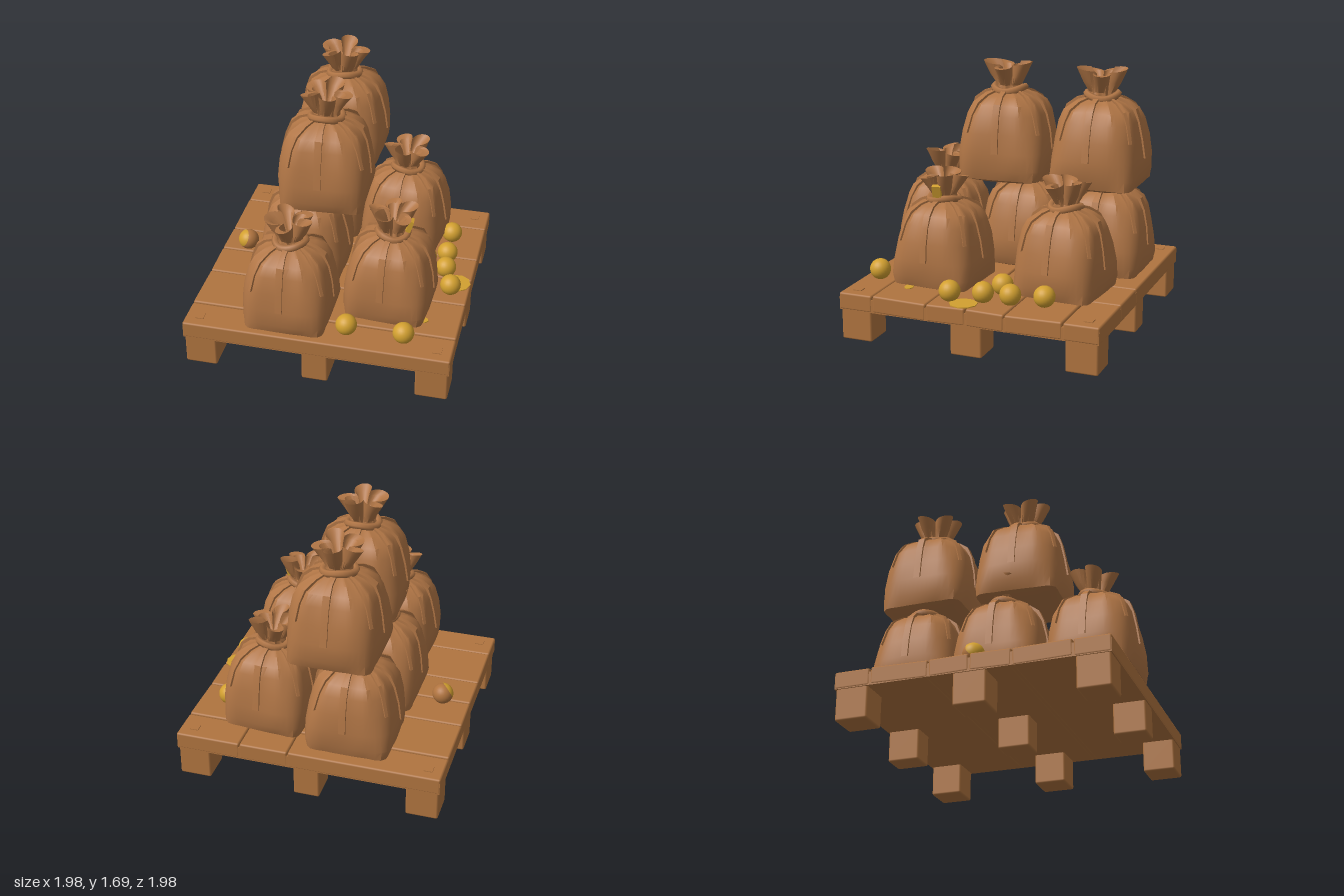
import * as THREE from 'three';
import { toCreasedNormals, mergeVertices } from 'three/addons/utils/BufferGeometryUtils.js';
import { RoundedBoxGeometry } from 'three/addons/geometries/RoundedBoxGeometry.js';

const wood = new THREE.MeshStandardMaterial({ color: 0xb0743f });
wood.name = 'wood';
const cloth = new THREE.MeshStandardMaterial({ color: 0xb07545 });
cloth.name = 'cloth';
const gold = new THREE.MeshStandardMaterial({ color: 0xd2a030 });
gold.name = 'gold';

const TURN = -0.162; // the whole load sits slightly turned

function add(parent, name, geometry, material, x = 0, y = 0, z = 0) {
  const mesh = new THREE.Mesh(geometry, material);
  mesh.name = name;
  mesh.position.set(x, y, z);
  parent.add(mesh);
  return mesh;
}

// Skin a grid of points: fn(row, column) -> [x, y, z]
function loft(rows, cols, fn, crease) {
  const pos = [], index = [];
  for (let i = 0; i <= rows; i++) for (let j = 0; j <= cols; j++) pos.push(...fn(i, j));
  for (let i = 0; i < rows; i++) for (let j = 0; j < cols; j++) {
    const a = i * (cols + 1) + j, b = a + cols + 1;
    index.push(a, b, a + 1, a + 1, b, b + 1);
  }
  const g = new THREE.BufferGeometry();
  g.setAttribute('position', new THREE.Float32BufferAttribute(pos, 3));
  g.setIndex(index);
  return toCreasedNormals(mergeVertices(g, 1e-5), crease);
}

// Sack rows: height, radius, squareness, corner ears, pleats, neck flaps
const ROWS = [
  [0.015, 0.001, 2, 0, 0, 0], [0, 0.2, 4, 0, 0, 0], [0.025, 0.262, 4, 0.035, 0, 0],
  [0.09, 0.284, 4, 0.015, 0, 0], [0.2, 0.286, 4, 0, 0, 0], [0.32, 0.272, 3.8, 0, 0.01, 0],
  [0.43, 0.25, 3.4, 0, 0.03, 0], [0.495, 0.222, 3, 0, 0.06, 0], [0.54, 0.165, 2.5, 0, 0.1, 0],
  [0.565, 0.09, 2, 0, 0.12, 0], [0.6, 0.085, 2, 0, 0.1, 0.1], [0.66, 0.122, 2, 0, 0, 0.3],
  [0.735, 0.165, 2, 0, 0, 0.42], [0.715, 0.12, 2, 0, 0, 0.42], [0.63, 0.04, 2, 0, 0, 0.2],
  [0.61, 0.001, 2, 0, 0, 0],
];

// Point on the sack surface, pushed out by "lift"
function sackPoint(row, angle, phase, lift = 0) {
  const [y, r0, n, ear, pleat, flap] = ROWS[row];
  const c = Math.abs(Math.cos(angle)), s = Math.abs(Math.sin(angle));
  let r = r0 * Math.pow(c ** n + s ** n, -1 / n);
  r += ear * Math.max(0, -Math.cos(4 * angle)) ** 3;
  r *= 1 - pleat * Math.abs(Math.sin(6 * angle));
  const lobe = Math.abs(Math.sin(2.5 * angle + phase));
  r *= 1 - flap * (1 - Math.pow(lobe, 0.5)) * 1.7;
  if (row > 2 && row < 8) r *= 1 + 0.018 * Math.sin(3 * angle + phase * 3 + row);
  const h = y + (row === 12 ? 0.02 * Math.sin(2 * angle + phase) : 0);
  r += lift;
  return [r * Math.cos(angle), h + (row > 6 ? lift : 0), r * Math.sin(angle)];
}

// Raised fold running from the neck down over the shoulder
function foldGeometry(angle, phase, endRow, width) {
  const last = 9;
  const across = [[-1, -0.01], [-1, 0.011], [1, 0.011], [1, -0.01]];
  return loft(last - endRow, 3, (i, j) => {
    const row = endRow + i;
    const [side, lift] = across[j];
    const p = sackPoint(row, angle, phase, lift);
    const w = width * (row > 7 ? 0.75 : 1);
    return [p[0] - Math.sin(angle) * side * w, p[1], p[2] + Math.cos(angle) * side * w];
  }, 0.5);
}

function makeSack(x, y, z, turn, scale, phase) {
  const sack = new THREE.Group();
  sack.name = 'sack';
  const cols = 60;
  add(sack, 'sackBody', loft(ROWS.length - 1, cols,
    (i, j) => sackPoint(i, (j % cols) / cols * Math.PI * 2, phase), 0.55), cloth);
  for (let k = 0; k < 4; k++) {
    const a = k * Math.PI / 2;
    add(sack, 'seam', foldGeometry(a + 0.04, phase, 4, 0.022), cloth);
    add(sack, 'cornerFold', foldGeometry(a + 0.68, phase, 5, 0.011), cloth);
  }
  // Slightly wavy tie around the neck
  const points = [];
  for (let k = 0; k < 12; k++) {
    const a = k * Math.PI / 6;
    points.push(new THREE.Vector3(0.098 * Math.cos(a), 0.575 + 0.012 * Math.sin(2 * a + phase), 0.098 * Math.sin(a)));
  }
  const ring = new THREE.CatmullRomCurve3(points, true);
  add(sack, 'neckTie', new THREE.TubeGeometry(ring, 28, 0.023, 6, true), cloth);
  sack.position.set(x, y, z);
  sack.rotation.y = turn;
  sack.scale.setScalar(scale);
  return sack;
}

function makePallet() {
  const pallet = new THREE.Group();
  pallet.name = 'pallet';
  const half = 0.866;
  add(pallet, 'deckBase', new THREE.BoxGeometry(2 * half - 0.01, 0.085, 2 * half - 0.01), wood, 0, 0.2425, 0);
  // Planks across the deck; the rear one is split in three
  const cuts = [0, 0.235, 0.61, 0.866, 1.13, 1.5, 2 * half];
  for (let i = 0; i < cuts.length - 1; i++) {
    const depth = cuts[i + 1] - cuts[i];
    const z = (cuts[i] + cuts[i + 1]) / 2 - half;
    const ends = i === 0 ? [-half, 0.12, 0.44, half] : [-half, half];
    for (let k = 0; k < ends.length - 1; k++) {
      const w = ends[k + 1] - ends[k];
      const plank = add(pallet, 'plank', new RoundedBoxGeometry(w - 0.004, 0.11, depth - 0.006, 1, 0.012),
        wood, (ends[k] + ends[k + 1]) / 2, 0.256, z);
      if (i > 0 && i < 5) plank.rotation.x = (i % 2 ? 1 : -1) * 0.02;
    }
  }
  // Square pegs in the corners
  for (const x of [-1, 1]) for (const z of [-1, 1]) {
    add(pallet, 'peg', new THREE.BoxGeometry(0.055, 0.008, 0.055), wood, x * 0.77, 0.312, z * 0.77);
  }
  // Nine feet
  for (const x of [-1, 0, 1]) for (const z of [-1, 0, 1]) {
    add(pallet, 'foot', new RoundedBoxGeometry(x ? 0.208 : 0.17, 0.21, 0.208, 1, 0.012), wood, x * 0.75, 0.105, z * 0.75);
  }
  pallet.rotation.y = TURN;
  return pallet;
}

export function createModel() {
  const model = new THREE.Group();
  model.name = 'sackPallet';
  model.add(makePallet());

  // Five sacks on the deck, two stacked on top: x, y, z, turn, scale
  const sacks = [
    [-0.3, 0.31, 0.55, TURN, 0.98],
    [-0.25, 0.31, -0.03, TURN, 1],
    [-0.15, 0.31, -0.58, TURN, 1],
    [0.33, 0.31, 0.4, TURN - 0.05, 0.97],
    [0.4, 0.31, -0.4, TURN - 0.08, 0.98],
    [-0.11, 0.92, 0.07, -0.1, 1.02],
    [-0.04, 0.91, -0.55, TURN, 1.02],
  ];
  sacks.forEach((s, i) => model.add(makeSack(...s, 0.5 + i * 0.8)));

  // Loose gold balls
  const balls = [
    [0.72, 0.385, -0.33], [0.69, 0.37, -0.11], [0.55, 0.385, -0.03], [0.68, 0.37, 0.065],
    [0.71, 0.375, 0.27], [0.06, 0.385, 0.75], [0.42, 0.385, 0.81],
  ];
  const ballGeometry = new THREE.SphereGeometry(0.068, 24, 16);
  for (const p of balls) add(model, 'goldBall', ballGeometry, gold, ...p);

  // One ball mostly brown with a gold face
  add(model, 'brownBall', ballGeometry, wood, -0.67, 0.385, -0.15);
  const face = add(model, 'goldFace', new THREE.SphereGeometry(0.0695, 24, 8, 0, Math.PI * 2, 0, 1.0), gold, -0.67, 0.385, -0.15);
  face.quaternion.setFromUnitVectors(new THREE.Vector3(0, 1, 0), new THREE.Vector3(-0.7, 0.4, 0.35).normalize());

  // Gold patches on the deck
  const patches = [[0.76, 0.17, 0.085, 0.09], [0.53, 0.585, 0.045, 0.03]];
  for (const [x, z, rx, rz] of patches) {
    const patch = add(model, 'goldPatch', new THREE.CylinderGeometry(1, 1, 0.006, 9), gold, x, 0.316, z);
    patch.scale.set(rx, 1, rz);
  }
  // Gold showing at one sack's neck
  const glint = add(model, 'goldGlint', new THREE.BoxGeometry(0.03, 0.08, 0.055), gold, 0.435, 0.93, 0.42);
  glint.rotation.z = -0.3;
  return model;
}
